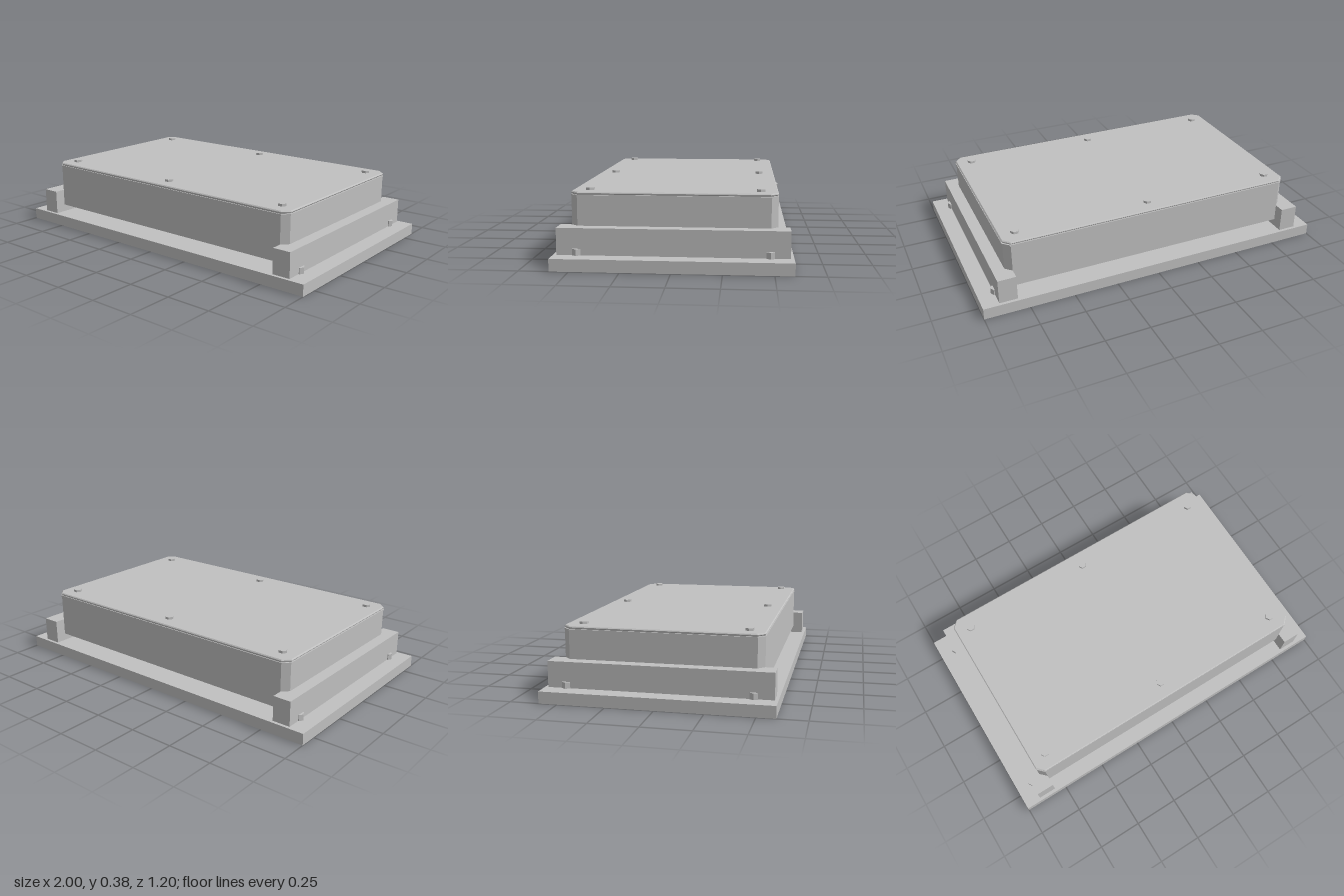
import * as THREE from 'three';

export function createModel() {
  const model = new THREE.Group();
  model.name = 'boltedEnclosure';
  const metal = new THREE.MeshStandardMaterial({ color: 0xc0c0c0, flatShading: true });
  metal.name = 'plain grey metal';

  const add = (name, geometry, x = 0, y = 0, z = 0) => {
    const mesh = new THREE.Mesh(geometry, metal);
    mesh.name = name;
    mesh.position.set(x, y, z);
    model.add(mesh);
  };

  // Horizontal slab with chamfered corners, from y0 to y1, optionally bevelled
  const slab = (name, hx, hz, cut, y0, y1, bevel = 0) => {
    const a = hx - bevel, b = hz - bevel;
    const shape = new THREE.Shape([
      [a, -b + cut], [a, b - cut], [a - cut, b], [-a + cut, b],
      [-a, b - cut], [-a, -b + cut], [-a + cut, -b], [a - cut, -b],
    ].map(([x, y]) => new THREE.Vector2(x, y)));
    const geometry = new THREE.ExtrudeGeometry(shape, {
      depth: y1 - y0 - 2 * bevel,
      bevelEnabled: bevel > 0, bevelSize: bevel, bevelThickness: bevel, bevelSegments: 1,
    });
    geometry.rotateX(-Math.PI / 2);
    add(name, geometry, 0, y0 + bevel, 0);
  };

  // Hexagonal bolt head with a corner pointing along x
  const bolt = (name, x, z, y0, y1) => {
    const geometry = new THREE.CylinderGeometry(0.024, 0.024, y1 - y0, 6);
    geometry.rotateY(Math.PI / 2);
    add(name, geometry, x, (y0 + y1) / 2, z);
  };

  // Base plate
  add('basePlate', new THREE.BoxGeometry(2, 0.063, 1.195), 0, 0.0315, 0);

  // Side rails and their bolts
  for (const side of [-1, 1]) {
    const label = side > 0 ? 'left' : 'right';
    add(label + 'Rail', new THREE.BoxGeometry(0.1, 0.137, 1.16), side * 0.86, 0.1315, 0);
    for (const z of [-0.482, 0.478]) bolt(label + 'RailBolt', side * 0.903, z, 0.06, 0.096);
  }

  // Housing raised above the base, with gasket and lid
  slab('housing', 0.845, 0.52, 0.035, 0.105, 0.348);
  slab('housingFlange', 0.848, 0.521, 0.035, 0.347, 0.356);
  slab('gasket', 0.842, 0.516, 0.035, 0.355, 0.36);
  slab('lid', 0.848, 0.521, 0.035, 0.359, 0.372, 0.005);

  // Lid bolts
  for (const x of [-0.76, 0, 0.76]) {
    for (const z of [-0.433, 0.433]) bolt('lidBolt', x, z, 0.37, 0.385);
  }

  return model;
}
